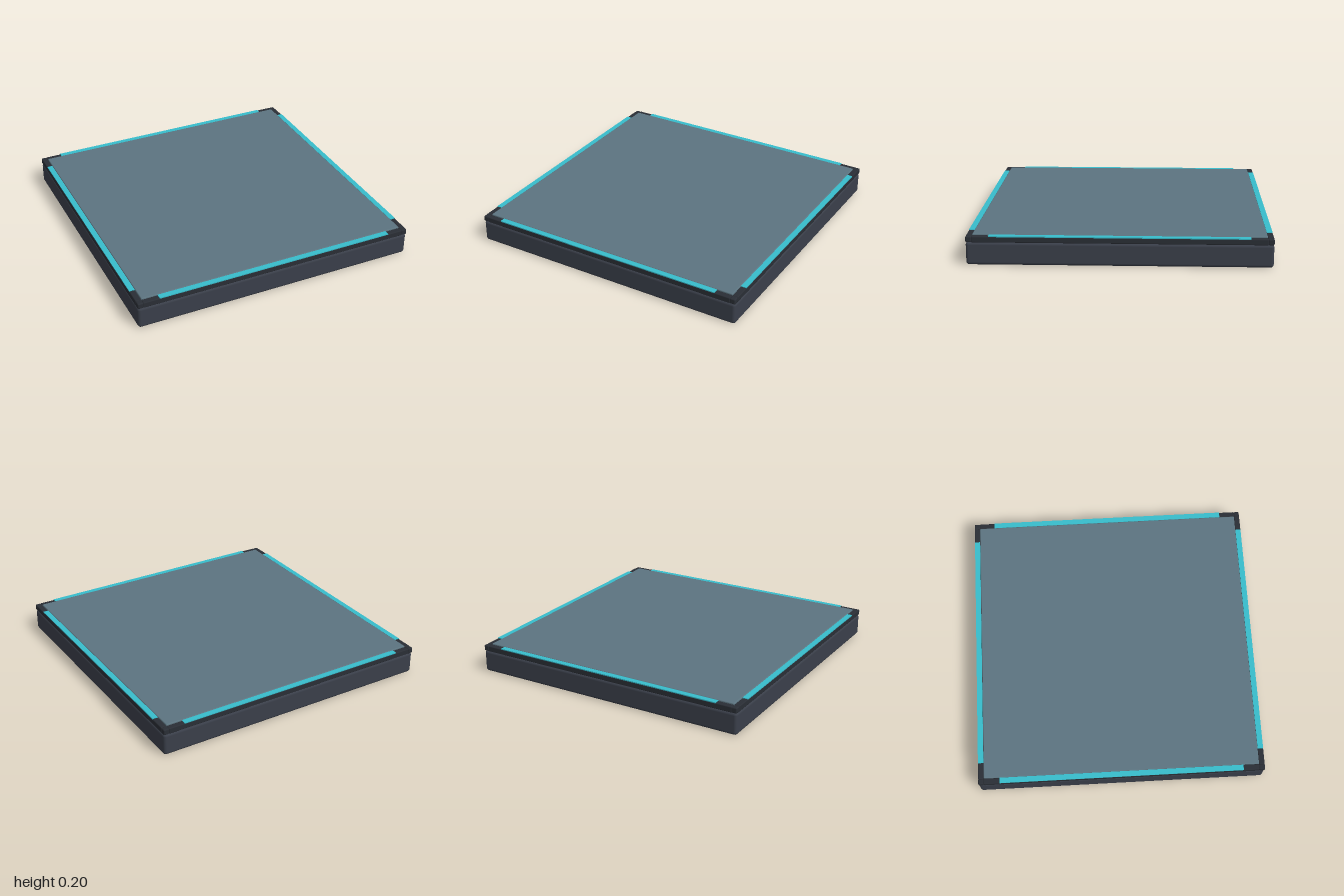
import * as THREE from 'three';
import { RoundedBoxGeometry } from 'three/addons/geometries/RoundedBoxGeometry.js';

const material = (color) => new THREE.MeshStandardMaterial({ color });

export function createModel() {
  const model = new THREE.Group();
  const baseMat = material(0x3a3f4a);
  const railMat = material(0x2a2e35);
  const panelMat = material(0x5c7480);
  const glowMat = material(0x38bccb);

  const add = (parent, name, geometry, mat, x, y, z) => {
    const mesh = new THREE.Mesh(geometry, mat);
    mesh.name = name;
    mesh.position.set(x, y, z);
    parent.add(mesh);
  };

  // Heavy slab with softened edges
  add(model, 'base', new RoundedBoxGeometry(2, 0.155, 2, 3, 0.02), baseMat, 0, 0.0775, 0);

  // Inset top panel
  add(model, 'topPanel', new RoundedBoxGeometry(1.92, 0.05, 1.92, 2, 0.006), panelMat, 0, 0.175, 0);

  // Four identical sides: rail, light strip and corner block
  const railGeo = new RoundedBoxGeometry(1.925, 0.04, 0.04, 2, 0.006);
  const stripGeo = new THREE.BoxGeometry(1.7, 0.01, 0.038);
  const cornerGeo = new RoundedBoxGeometry(0.04, 0.04, 0.04, 3, 0.008);
  for (let i = 0; i < 4; i++) {
    const side = new THREE.Group();
    side.name = 'edge' + ['Front', 'Left', 'Back', 'Right'][i];
    side.rotation.y = i * Math.PI / 2;
    add(side, 'rail', railGeo, railMat, 0, 0.173, 0.98);
    add(side, 'lightStrip', stripGeo, glowMat, 0, 0.192, 0.98);
    add(side, 'cornerBlock', cornerGeo, railMat, 0.98, 0.173, 0.98);
    model.add(side);
  }
  return model;
}
